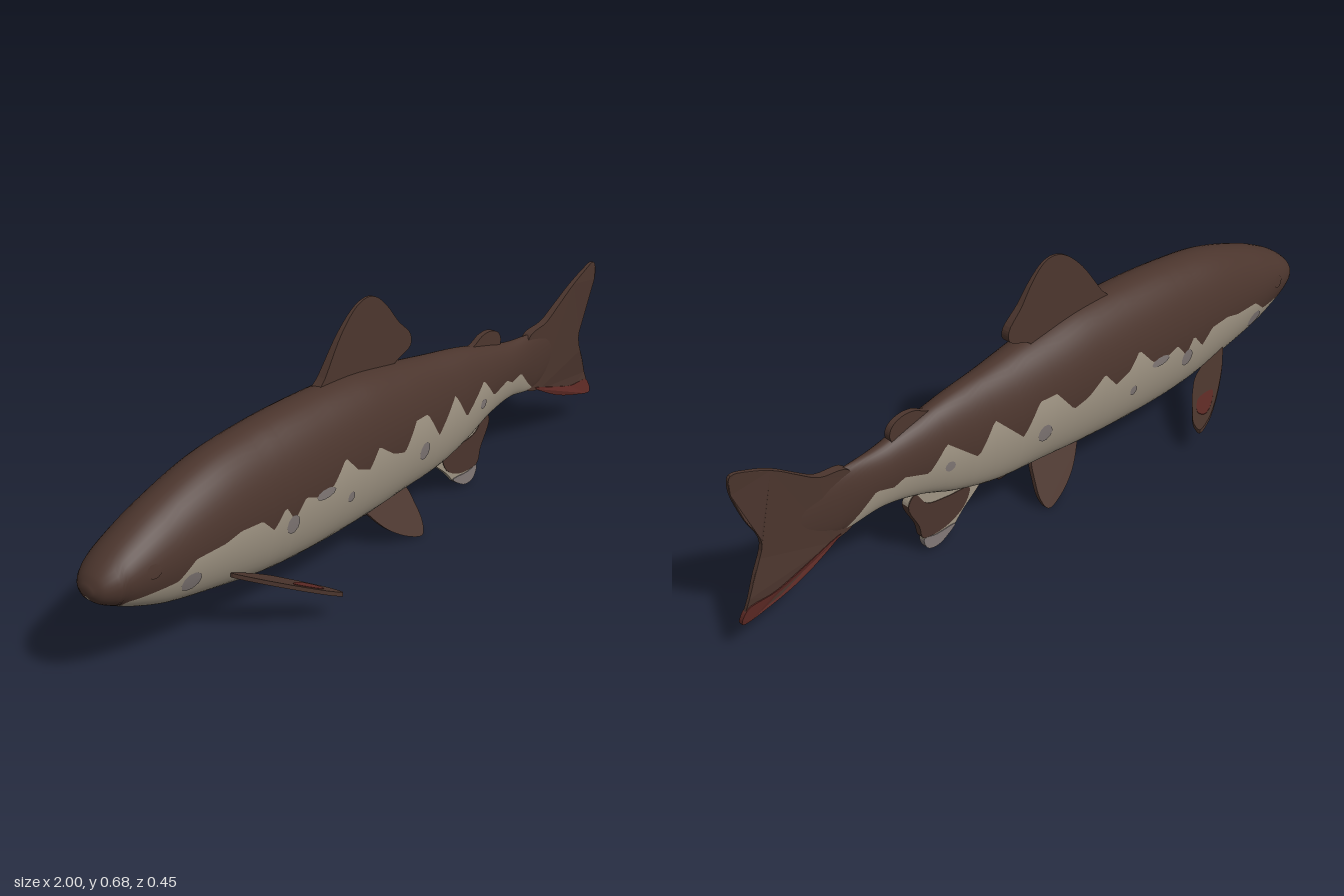
import * as THREE from 'three';

const mat = (name, color) => Object.assign(new THREE.MeshStandardMaterial({ color }), { name });

// Body stations: x, top y, bottom y, half width, centre z
const STATIONS = [
  [-1, 0.29, 0.268, 0.018, 0], [-0.985, 0.315, 0.247, 0.045, 0], [-0.95, 0.345, 0.228, 0.068, 0],
  [-0.9, 0.375, 0.205, 0.083, 0], [-0.8, 0.42, 0.17, 0.098, -0.002], [-0.63, 0.474, 0.137, 0.112, -0.005],
  [-0.47, 0.497, 0.113, 0.118, -0.007], [-0.3, 0.507, 0.107, 0.12, -0.007], [-0.1, 0.505, 0.112, 0.115, -0.007],
  [0.05, 0.485, 0.122, 0.104, -0.007], [0.22, 0.457, 0.13, 0.084, -0.007], [0.35, 0.437, 0.16, 0.068, -0.005],
  [0.46, 0.412, 0.2, 0.053, -0.003], [0.57, 0.386, 0.218, 0.038, -0.001], [0.7, 0.374, 0.205, 0.02, 0],
  [0.82, 0.345, 0.25, 0.006, 0],
];

// Wavy colour line between back and belly: x, y
const LINE = [
  [-1, 0.2], [-0.96, 0.21], [-0.93, 0.245], [-0.8, 0.25], [-0.75, 0.29], [-0.66, 0.295], [-0.61, 0.308], [-0.54, 0.305],
  [-0.5, 0.265], [-0.46, 0.312], [-0.43, 0.265], [-0.39, 0.312], [-0.34, 0.292], [-0.29, 0.305], [-0.24, 0.36],
  [-0.2, 0.315], [-0.15, 0.295], [-0.11, 0.342], [-0.05, 0.3], [0, 0.285], [0.055, 0.352], [0.11, 0.35],
  [0.165, 0.268], [0.25, 0.352], [0.305, 0.268], [0.395, 0.342], [0.45, 0.278], [0.52, 0.297], [0.55, 0.28],
  [0.6, 0.29], [0.65, 0.24], [0.7, 0.2], [0.83, 0.1],
];

const findSpan = (table, x) => {
  let i = 0;
  while (i < table.length - 2 && x > table[i + 1][0]) i++;
  return i;
};

// Smooth (Hermite) lookup of one station column
function station(x, col) {
  const T = STATIONS, i = findSpan(T, x), h = T[i + 1][0] - T[i][0], t = (x - T[i][0]) / h;
  const slope = k => {
    const a = T[Math.max(0, k - 1)], b = T[Math.min(T.length - 1, k + 1)];
    return (b[col] - a[col]) / (b[0] - a[0]);
  };
  const t2 = t * t, t3 = t2 * t;
  return (2 * t3 - 3 * t2 + 1) * T[i][col] + (t3 - 2 * t2 + t) * h * slope(i)
    + (3 * t2 - 2 * t3) * T[i + 1][col] + (t3 - t2) * h * slope(i + 1);
}

function lineY(x) {
  const i = findSpan(LINE, x), [a, b] = [LINE[i], LINE[i + 1]];
  return a[1] + (b[1] - a[1]) * (x - a[0]) / (b[0] - a[0]);
}

// Oval section, fuller towards the belly
function section(x) {
  const top = station(x, 1), bottom = station(x, 2), half = (top - bottom) / 2, mid = (top + bottom) / 2;
  const width = station(x, 3), centre = station(x, 4);
  return {
    mid, half, centre,
    y: a => mid + half * Math.cos(a),
    z: a => width * Math.pow(Math.max(0, Math.sin(a)), Math.cos(a) < 0 ? 1 - 0.3 * -Math.cos(a) : 1),
  };
}

// Rings along x; each ring is divided at the colour line
function bodyGeometry() {
  const cols = 200, n = 12, ring = n * 4, pos = [], back = [], belly = [];
  for (let i = 0; i <= cols; i++) {
    const x = -1 + 1.82 * Math.pow(i / cols, 1.2), s = section(x);
    const split = Math.acos(THREE.MathUtils.clamp((lineY(x) - s.mid) / s.half, -0.999, 0.9));
    for (let j = 0; j < ring; j++) {
      const k = j <= 2 * n ? j : ring - j, side = j <= 2 * n ? 1 : -1;
      const a = k <= n ? split * k / n : split + (Math.PI - split) * (k - n) / n;
      pos.push(x, s.y(a), s.centre + side * s.z(a));
    }
  }
  for (let i = 0; i < cols; i++) for (let j = 0; j < ring; j++) {
    const a = i * ring + j, b = i * ring + (j + 1) % ring, c = a + ring, d = b + ring;
    (j >= n && j < 3 * n ? belly : back).push(a, b, c, b, d, c);
  }
  // Snout and tail caps
  const last = cols * ring, tip = pos.length / 3;
  pos.push(-1.0, 0.279, 0, 0.82, 0.297, 0);
  for (let j = 0; j < ring; j++) {
    const k = (j + 1) % ring;
    back.push(tip, k, j, tip + 1, last + j, last + k);
  }
  const g = new THREE.BufferGeometry();
  g.setAttribute('position', new THREE.Float32BufferAttribute(pos, 3));
  g.setIndex([...back, ...belly]);
  g.addGroup(0, back.length, 0);
  g.addGroup(back.length, belly.length, 1);
  g.computeVertexNormals();
  return g;
}

// Thin blade from a rounded outline; warp places each point (z runs -0.5 to 0.5)
function blade(name, points, material, warp) {
  const curve = new THREE.CatmullRomCurve3(points.map(p => new THREE.Vector3(p[0], p[1], 0)), true, 'centripetal');
  const outline = curve.getPoints(points.length * 5).slice(0, -1).map(p => new THREE.Vector2(p.x, p.y));
  const g = new THREE.ExtrudeGeometry(new THREE.Shape(outline), { depth: 1, bevelEnabled: false });
  const p = g.attributes.position;
  for (let i = 0; i < p.count; i++) p.setXYZ(i, ...warp(p.getX(i), p.getY(i), p.getZ(i) - 0.5));
  g.computeVertexNormals();
  const mesh = new THREE.Mesh(g, material);
  mesh.name = name;
  return mesh;
}

// Flat patch laid over the flank
function patch(name, cx, cy, rx, ry, side, material) {
  const g = new THREE.CircleGeometry(1, 10), p = g.attributes.position;
  for (let i = 0; i < p.count; i++) {
    const x = cx + side * p.getX(i) * rx, y = cy + p.getY(i) * ry, s = section(x);
    const a = Math.acos(THREE.MathUtils.clamp((y - s.mid) / s.half, -1, 1));
    p.setXYZ(i, x, y, s.centre + side * (s.z(a) + 0.002));
  }
  g.computeVertexNormals();
  const mesh = new THREE.Mesh(g, material);
  mesh.name = name;
  return mesh;
}

export function createModel() {
  const fish = new THREE.Group();
  fish.name = 'fish';
  const brown = mat('back brown', 0x4b352d), cream = mat('belly cream', 0xa09584);
  const red = mat('fin red', 0x5e2a25), grey = mat('spot grey', 0x827977);

  const body = new THREE.Mesh(bodyGeometry(), [brown, cream]);
  body.name = 'body';
  fish.add(body);

  // Upright fins on the centre line
  const upright = (z0, base, slope) => (x, y, z) => [x, y, z0 + z * (base - slope * Math.abs(y - 0.3))];
  fish.add(blade('dorsalFin', [[-0.22, 0.49], [-0.19, 0.525], [-0.12, 0.622], [-0.06, 0.675], [-0.015, 0.688], [0.02, 0.678],
    [0.06, 0.642], [0.1, 0.59], [0.147, 0.54], [0.145, 0.51], [0.08, 0.482], [0.06, 0.46], [-0.15, 0.46]],
  brown, upright(-0.016, 0.05, 0.11)));
  fish.add(blade('adiposeFin', [[0.37, 0.41], [0.42, 0.427], [0.45, 0.442], [0.49, 0.445], [0.525, 0.43], [0.535, 0.405],
    [0.52, 0.38], [0.42, 0.39]], brown, upright(-0.005, 0.03, 0.1)));

  // Forked tail with a red lower edge
  const tailWarp = extra => (x, y, z) => {
    const t = THREE.MathUtils.clamp((x - 0.66) / 0.34, 0, 1);
    return [x, y, z * (0.026 - 0.018 * t + extra) + 0.006 * Math.sin(y * 30) * t];
  };
  fish.add(blade('tailFin', [[0.66, 0.372], [0.75, 0.395], [0.81, 0.432], [0.865, 0.468], [0.93, 0.498], [0.985, 0.512],
    [0.99, 0.475], [0.965, 0.385], [0.92, 0.287], [0.958, 0.2], [0.985, 0.14], [0.997, 0.097], [0.92, 0.11],
    [0.81, 0.147], [0.72, 0.192], [0.66, 0.215]], brown, tailWarp(0)));
  fish.add(blade('tailRedEdge', [[0.7, 0.206], [0.81, 0.172], [0.9, 0.145], [0.985, 0.135], [0.998, 0.096],
    [0.92, 0.109], [0.81, 0.146]], red, tailWarp(0.004)));

  // Anal fin: cream base, brown web, grey tip
  const analWarp = extra => (x, y, z) => [x, y, -0.008 + z * (0.012 + 0.06 * Math.max(0, y - 0.03) + extra)];
  fish.add(blade('analFin', [[0.24, 0.14], [0.305, 0.075], [0.35, 0.03], [0.395, 0.01], [0.43, 0.018], [0.455, 0.1],
    [0.492, 0.18], [0.47, 0.208], [0.38, 0.2], [0.28, 0.17]], cream, analWarp(0)));
  fish.add(blade('analFinWeb', [[0.285, 0.135], [0.3, 0.09], [0.345, 0.06], [0.4, 0.05], [0.445, 0.058], [0.457, 0.1],
    [0.492, 0.178], [0.47, 0.206], [0.43, 0.16], [0.36, 0.145]], brown, analWarp(0.004)));
  fish.add(blade('analFinTip', [[0.335, 0.045], [0.36, 0.024], [0.395, 0.009], [0.43, 0.017], [0.442, 0.052],
    [0.4, 0.046]], grey, analWarp(0.005)));

  for (const side of [1, -1]) {
    const label = side > 0 ? 'front' : 'rear';

    // Pelvic fins splay outwards as they descend
    fish.add(blade(label + 'PelvicFin', [[-0.09, 0.14], [-0.07, 0.105], [-0.03, 0.06], [0.03, 0.022], [0.085, 0.008],
      [0.1, 0.035], [0.098, 0.08], [0.08, 0.14], [0, 0.15]], brown,
    (x, y, z) => [x, y, -0.006 + side * (0.04 + 0.5 * (0.115 - y)) + z * 0.013]));

    // Pectoral fins sweep out and back, sloping down
    const spread = thick => (x, y, z) => [x, 0.178 - 0.46 * (x + 0.6) + 0.02 * (y - 0.1) - side * z * thick, side * y];
    fish.add(blade(label + 'PectoralFin', [[-0.63, 0.085], [-0.59, 0.125], [-0.54, 0.16], [-0.47, 0.2], [-0.42, 0.22],
      [-0.385, 0.222], [-0.395, 0.19], [-0.43, 0.155], [-0.47, 0.12], [-0.52, 0.09]], brown, spread(0.012)));
    fish.add(blade(label + 'PectoralRedPatch', [[-0.5, 0.165], [-0.46, 0.195], [-0.43, 0.2], [-0.425, 0.18],
      [-0.46, 0.15]], red, spread(0.015)));

    // Grey flank spots
    for (const [x, y, rx, ry] of [[-0.76, 0.232, 0.03, 0.025], [-0.435, 0.255, 0.022, 0.026], [-0.32, 0.295, 0.035, 0.014],
      [-0.22, 0.245, 0.013, 0.015], [0.095, 0.25, 0.023, 0.026], [0.39, 0.275, 0.015, 0.015]]) {
      fish.add(patch(label + 'Spot', x, y, rx, ry, side, grey));
    }
    // Faint eye
    fish.add(patch(label + 'Eye', -0.87, 0.305, 0.02, 0.018, side, brown));
  }
  return fish;
}
